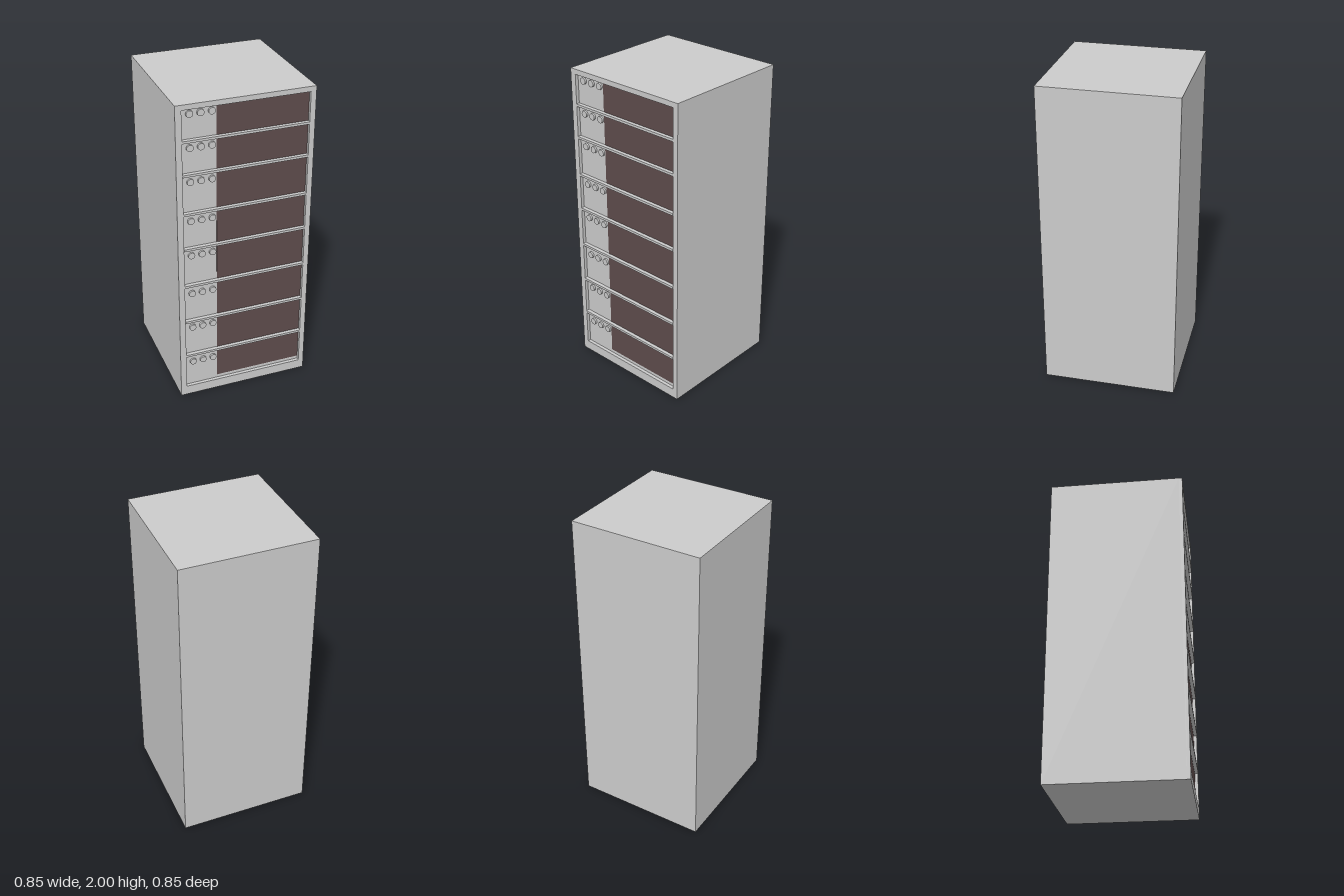
import * as THREE from 'three';

const grey = new THREE.MeshStandardMaterial({ color: 0xcccccc });
const dark = new THREE.MeshStandardMaterial({ color: 0x5e4c4c });
const light = new THREE.MeshStandardMaterial({ color: 0xeeeeee });

const HALF = 0.425, HEIGHT = 2;
const BACK = 0.4, FRONT = 0.422;                              // recess floor and frame face
const LEFT = -0.387, RIGHT = 0.391, BOTTOM = 0.063, TOP = 1.968; // front opening

// Box given by its lower and upper limits on each axis
function box(name, [x0, x1], [y0, y1], [z0, z1], material) {
  const mesh = new THREE.Mesh(new THREE.BoxGeometry(x1 - x0, y1 - y0, z1 - z0), material);
  mesh.position.set((x0 + x1) / 2, (y0 + y1) / 2, (z0 + z1) / 2);
  mesh.name = name;
  return mesh;
}

function rectangle(path, x0, x1, y0, y1) {
  path.moveTo(x0, y0).lineTo(x1, y0).lineTo(x1, y1).lineTo(x0, y1).closePath();
  return path;
}

export function createModel() {
  const group = new THREE.Group();
  group.name = 'rackCabinet';

  // Closed cabinet behind the recess
  group.add(box('cabinetBody', [-HALF, HALF], [0, HEIGHT], [-HALF, BACK], grey));

  // Frame around the front opening
  const outline = rectangle(new THREE.Shape(), -HALF, HALF, 0, HEIGHT);
  outline.holes.push(rectangle(new THREE.Path(), LEFT, RIGHT, BOTTOM, TOP));
  const frame = new THREE.Mesh(
    new THREE.ExtrudeGeometry(outline, { depth: FRONT - BACK, bevelEnabled: false }), grey);
  frame.position.z = BACK;
  frame.name = 'frontFrame';
  group.add(frame);

  // Dark panel on the recess floor
  group.add(box('darkPanel', [-0.175, RIGHT], [0.085, TOP], [BACK - 0.002, BACK + 0.002], dark));

  // Divider bars between the eight bays
  for (const y of [1.775, 1.564, 1.312, 1.075, 0.817, 0.557, 0.301]) {
    group.add(box('divider', [LEFT, RIGHT], [y - 0.0075, y + 0.0075], [BACK, HALF], grey));
  }

  // Three round buttons in each bay
  const button = new THREE.CylinderGeometry(0.021, 0.021, 0.012, 24).rotateX(Math.PI / 2);
  for (const y of [1.935, 1.727, 1.513, 1.257, 1.022, 0.752, 0.502, 0.238]) {
    for (const x of [-0.336, -0.27, -0.203]) {
      const mesh = new THREE.Mesh(button, light);
      mesh.position.set(x, y, BACK + 0.006);
      mesh.name = 'button';
      group.add(mesh);
    }
  }
  return group;
}
